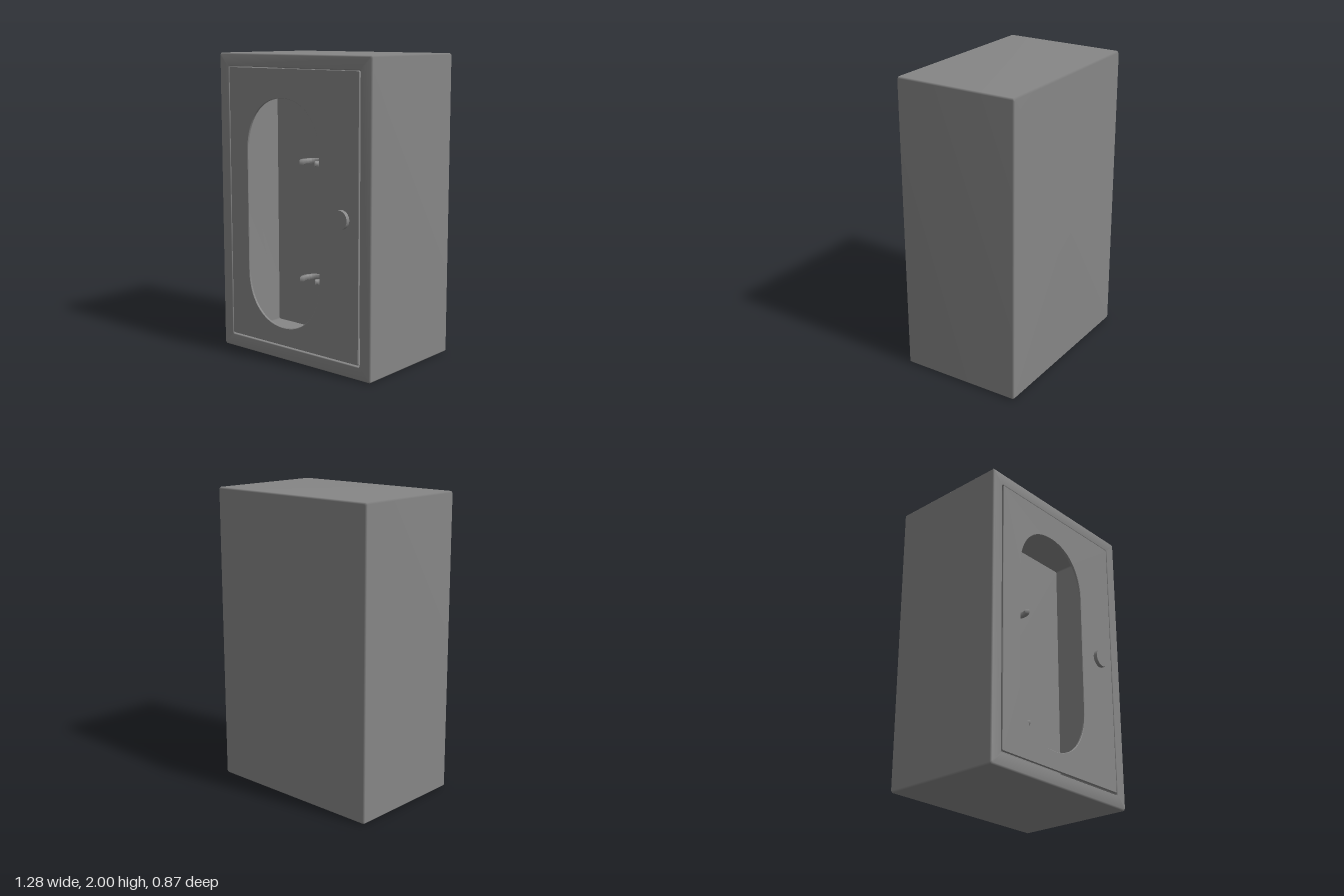
import * as THREE from 'three';
import { mergeVertices, toCreasedNormals } from 'three/addons/utils/BufferGeometryUtils.js';

const material = new THREE.MeshStandardMaterial({ color: 0x868686 });

function addMesh(parent, name, geometry, x = 0, y = 0, z = 0) {
  const mesh = new THREE.Mesh(geometry, material);
  mesh.name = name;
  mesh.position.set(x, y, z);
  parent.add(mesh);
  return mesh;
}

// Corners of a rectangle with cut corners, counter-clockwise
function cutRect(w, h, c) {
  return [
    [-w + c, -h], [w - c, -h], [w, -h + c], [w, h - c],
    [w - c, h], [-w + c, h], [-w, h - c], [-w, -h + c],
  ];
}

// Skin through rectangular rings [halfWidth, halfHeight, cornerCut, z], with soft narrow edges
function loftRings(rings) {
  const positions = [];
  const loops = rings.map(([w, h, c, z]) => cutRect(w, h, c).map(([x, y]) => [x, y, z]));
  for (let r = 0; r < loops.length - 1; r++) {
    const a = loops[r], b = loops[r + 1];
    for (let i = 0; i < 8; i++) {
      const j = (i + 1) % 8;
      positions.push(...a[i], ...a[j], ...b[j], ...a[i], ...b[j], ...b[i]);
    }
  }
  const geometry = new THREE.BufferGeometry();
  geometry.setAttribute('position', new THREE.Float32BufferAttribute(positions, 3));
  const merged = mergeVertices(geometry);
  merged.computeVertexNormals();
  return merged;
}

// Tall window outline: straight sides with full, slightly squared round ends
function windowPath(cx, cy, halfW, halfH, endH) {
  const path = new THREE.Path();
  const k = 0.6;
  const y = halfH - endH;
  path.moveTo(cx + halfW, cy - y);
  for (const s of [1, -1]) {
    const side = s * halfW, top = cy + s * halfH, spring = cy + s * y;
    path.lineTo(cx + side, spring);
    path.bezierCurveTo(cx + side, spring + s * endH * k, cx + side * k, top, cx, top);
    path.bezierCurveTo(cx - side * k, top, cx - side, spring + s * endH * k, cx - side, spring);
  }
  return path;
}

// Open clip with a short stem to the back wall; the gap faces the front
function clipGeometry() {
  const outer = 0.092, inner = 0.064, gap = 0.8, stem = 0.016, reach = 0.165;
  const front = -Math.PI / 2;
  const side = Math.asin(stem / outer);
  const shape = new THREE.Shape();
  shape.absarc(0, 0, outer, front + gap, Math.PI / 2 - side, false);
  shape.lineTo(stem, reach);
  shape.lineTo(-stem, reach);
  shape.absarc(0, 0, outer, Math.PI / 2 + side, front - gap + Math.PI * 2, false);
  shape.absarc(0, 0, inner, front - gap + Math.PI * 2, front + gap, true);
  const geometry = new THREE.ExtrudeGeometry(shape, {
    depth: 0.022, curveSegments: 20,
    bevelEnabled: true, bevelThickness: 0.007, bevelSize: 0.006, bevelOffset: -0.006, bevelSegments: 3,
  });
  geometry.translate(0, 0, -0.011);
  geometry.rotateX(-Math.PI / 2);
  return toCreasedNormals(geometry, 0.9);
}

export function createModel() {
  const model = new THREE.Group();
  model.name = 'wallCabinet';

  // Hollow case: back, outer walls, front rim, inner walls
  addMesh(model, 'cabinetCase', loftRings([
    [0, 0, 0, -0.436],
    [0.629, 0.989, 0.008, -0.436],
    [0.64, 1, 0.011, -0.425],
    [0.64, 1, 0.011, 0.396],
    [0.63, 0.99, 0.008, 0.406],
    [0.559, 0.918, 0.008, 0.406],
    [0.554, 0.913, 0.008, 0.401],
    [0.554, 0.913, 0.008, -0.06],
  ]), 0, 1.003 - 0.003, 0);

  // Inner back wall that carries the clips
  addMesh(model, 'innerBack', new THREE.PlaneGeometry(1.11, 1.828), 0, 1, -0.06);

  // Thin door with its tall window, set into the rim with a narrow gap
  const door = new THREE.Group();
  door.name = 'door';
  model.add(door);
  const panel = new THREE.Shape(cutRect(0.547, 0.906, 0.006).map(([x, y]) => new THREE.Vector2(x, y)));
  panel.holes.push(windowPath(-0.078, -0.034, 0.308, 0.751, 0.35));
  const panelGeometry = new THREE.ExtrudeGeometry(panel, {
    depth: 0.01, curveSegments: 24,
    bevelEnabled: true, bevelThickness: 0.003, bevelSize: 0.003, bevelOffset: -0.003, bevelSegments: 1,
  });
  addMesh(door, 'doorPanel', toCreasedNormals(panelGeometry, 0.4), 0, 1.004, 0.396);

  // Round door knob
  const knob = new THREE.CylinderGeometry(0.061, 0.061, 0.035, 40);
  knob.rotateX(Math.PI / 2);
  addMesh(door, 'doorKnob', knob, 0.413, 1.003, 0.4185);

  // Two holding clips on the inner back wall
  const clip = clipGeometry();
  for (const [name, y] of [['upperClip', 1.283], ['lowerClip', 0.486]]) {
    addMesh(model, name, clip, -0.085, y, 0.1);
  }

  return model;
}
